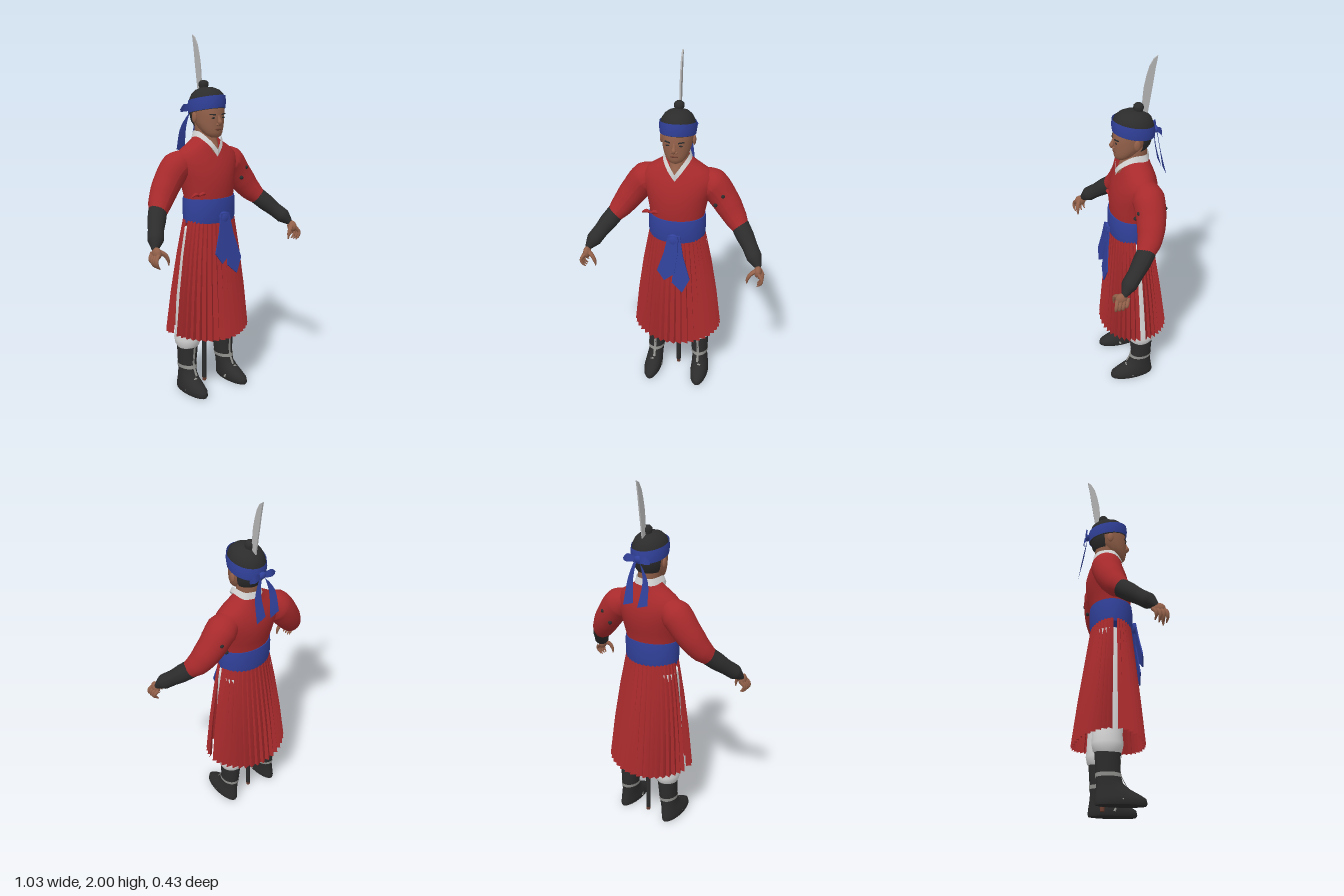
import * as THREE from 'three';
import { toCreasedNormals } from 'three/addons/utils/BufferGeometryUtils.js';

const mat = (name, color, side = THREE.FrontSide) => {
  const m = new THREE.MeshStandardMaterial({ color, side });
  m.name = name;
  return m;
};
const V = (p) => new THREE.Vector3(...p);

export function createModel() {
  const model = new THREE.Group();
  model.name = 'swordsman';
  const red = mat('red cloth', 0xa82a2c, THREE.DoubleSide);
  const blue = mat('blue cloth', 0x31419b, THREE.DoubleSide);
  const black = mat('black', 0x2c2c2c, THREE.DoubleSide);
  const white = mat('white cloth', 0xd6d6d6, THREE.DoubleSide);
  const skin = mat('skin', 0x93614a);
  const lip = mat('lip', 0x6e4032);
  const steel = mat('steel', 0xb4b4b4);
  const strap = mat('grey strap', 0x8f8f8c, THREE.DoubleSide);

  const add = (name, geo, material, parent = model) => {
    const m = new THREE.Mesh(geo, material);
    m.name = name;
    parent.add(m);
    return m;
  };

  // Stack of ellipses, bottom to top: [y, half width, z front, z back, x centre].
  // warp(angle, height 0..1, point, centre) may move each point; angle 0 faces +z.
  const loft = (rows, { n = 32, from = 0, to = Math.PI * 2, caps = true, warp, crease = 0.9 } = {}) => {
    const pos = [], idx = [], w = n + 1;
    rows.forEach(([y, rx, zf, zb, cx = 0], i) => {
      const c = new THREE.Vector3(cx, y, (zf + zb) / 2), rz = (zf - zb) / 2;
      for (let j = 0; j <= n; j++) {
        const a = from + ((to - from) * j) / n;
        const p = new THREE.Vector3(cx + rx * Math.sin(a), y, c.z + rz * Math.cos(a));
        if (warp) warp(a, i / (rows.length - 1), p, c, j);
        pos.push(p.x, p.y, p.z);
        if (i && j) {
          const k = i * w + j;
          idx.push(k - w - 1, k - w, k, k - w - 1, k, k - 1);
        }
      }
    });
    if (caps) [0, rows.length - 1].forEach((i, top) => {
      const [y, , zf, zb, cx = 0] = rows[i], c = pos.length / 3;
      const mid = new THREE.Vector3(cx, y, (zf + zb) / 2);
      if (warp) warp(0, top, mid, mid.clone(), 0);
      pos.push(mid.x, mid.y, mid.z);
      for (let j = 0; j < n; j++) {
        const k = i * w + j;
        idx.push(c, top ? k : k + 1, top ? k + 1 : k);
      }
    });
    const g = new THREE.BufferGeometry();
    g.setAttribute('position', new THREE.Float32BufferAttribute(pos, 3));
    g.setIndex(idx);
    return toCreasedNormals(g, crease);
  };

  // Round limb along points with a radius at each point.
  const limb = (pts, radii, n = 16, seg = 20) => {
    const curve = new THREE.CatmullRomCurve3(pts.map(V));
    const g = new THREE.TubeGeometry(curve, seg, 1, n), p = g.attributes.position, v = new THREE.Vector3();
    for (let i = 0; i < p.count; i++) {
      const u = Math.floor(i / (n + 1)) / seg, t = u * (radii.length - 1);
      const k = Math.min(Math.floor(t), radii.length - 2), c = curve.getPointAt(u);
      v.fromBufferAttribute(p, i).sub(c).multiplyScalar(THREE.MathUtils.lerp(radii[k], radii[k + 1], t - k)).add(c);
      p.setXYZ(i, v.x, v.y, v.z);
    }
    g.computeVertexNormals();
    return g;
  };

  // Cloth ribbon between two edge curves.
  const ribbon = (a, b, seg = 16) => {
    const A = new THREE.CatmullRomCurve3(a.map(V)), B = new THREE.CatmullRomCurve3(b.map(V));
    const g = new THREE.PlaneGeometry(1, 1, 1, seg), p = g.attributes.position;
    for (let i = 0; i < p.count; i++) {
      const q = (i % 2 ? B : A).getPoint(Math.floor(i / 2) / seg);
      p.setXYZ(i, q.x, q.y, q.z);
    }
    g.computeVertexNormals();
    return g;
  };

  const plate = (pts, depth) => new THREE.ExtrudeGeometry(
    new THREE.Shape(pts.map(([x, y]) => new THREE.Vector2(x, y))), { depth, bevelEnabled: false });
  const ball = (name, r, [x, y, z], [sx, sy, sz], material, parent) => {
    const m = add(name, new THREE.SphereGeometry(r, 16, 12), material, parent);
    m.position.set(x, y, z);
    m.scale.set(sx, sy, sz);
    return m;
  };

  // Head and neck
  const head = new THREE.Group();
  head.name = 'head';
  model.add(head);
  add('face', loft([[1.458, 0.02, 0.064, 0.03], [1.468, 0.04, 0.075, 0], [1.485, 0.055, 0.079, -0.03], [1.51, 0.068, 0.08, -0.06],
    [1.54, 0.077, 0.082, -0.09], [1.57, 0.082, 0.083, -0.11], [1.61, 0.088, 0.08, -0.12], [1.65, 0.086, 0.07, -0.12]]), skin, head);
  add('neck', loft([[1.375, 0.018, 0.067, 0], [1.42, 0.048, 0.052, -0.08], [1.47, 0.058, 0.024, -0.1], [1.54, 0.06, 0.03, -0.1]]), skin, head);
  add('nose', limb([[0, 1.58, 0.078], [0, 1.555, 0.085], [0, 1.536, 0.091], [0, 1.526, 0.082]], [0.006, 0.009, 0.013, 0.004], 10), skin, head);
  ball('mouth', 0.022, [0, 1.504, 0.078], [1, 0.25, 0.25], lip, head);
  for (const s of [1, -1]) {
    ball('ear', 0.022, [s * 0.088, 1.565, -0.022], [0.4, 1.3, 0.8], skin, head);
    ball('nostril', 0.008, [s * 0.011, 1.53, 0.083], [1, 0.8, 1], skin, head);
    ball('eye', 0.013, [s * 0.033, 1.566, 0.0755], [1, 0.35, 0.25], black, head);
    const brow = add('eyebrow', new THREE.BoxGeometry(0.034, 0.006, 0.006), black, head);
    brow.position.set(s * 0.036, 1.584, 0.074);
    brow.rotation.set(0, s * 0.4, s * 0.08);
  }

  // Hair, topknot and headband, all tilted down at the back
  const tilt = (a, h, p) => { p.y += p.z * 0.21; };
  add('hairCap', loft([[1.6, 0.092, 0.081, -0.132], [1.65, 0.094, 0.082, -0.136], [1.68, 0.087, 0.071, -0.13], [1.705, 0.072, 0.045, -0.12],
    [1.722, 0.05, 0.01, -0.1], [1.731, 0.02, -0.03, -0.07]], { warp: tilt }), black, head);
  add('backHair', loft([[1.515, 0.066, 0.05, -0.1], [1.54, 0.082, 0.06, -0.117], [1.58, 0.089, 0.07, -0.127], [1.62, 0.091, 0.07, -0.13]],
    { from: 1.85, to: 4.43, caps: false }), black, head);
  add('topknot', new THREE.LatheGeometry([[0.024, 0], [0.021, 0.012], [0.027, 0.028], [0.026, 0.045], [0.016, 0.055], [0, 0.058]]
    .map(([x, y]) => new THREE.Vector2(x, y)), 20), black, head).position.set(0, 1.703, -0.053);
  add('headband', loft([[1.602, 0.095, 0.085, -0.136], [1.635, 0.099, 0.089, -0.141], [1.67, 0.096, 0.085, -0.137]], { warp: tilt, caps: false }), blue, head);
  ball('headbandKnot', 0.022, [-0.005, 1.6, -0.147], [1.1, 0.9, 0.6], blue, head);
  for (const [s, x] of [[1, 0.035], [-1, -0.055]]) {
    add('headbandTail', ribbon([[0, 1.61, -0.148], [x - 0.02, 1.5, -0.165], [x - 0.033, 1.375, -0.188]],
      [[s * 0.012, 1.605, -0.15], [x + 0.015, 1.5, -0.16], [x + 0.028, 1.355, -0.192]]), blue, head);
    add('headbandLoop', ribbon([[0, 1.61, -0.148], [s * 0.05, 1.628, -0.16], [s * 0.085, 1.6, -0.155]],
      [[0, 1.59, -0.148], [s * 0.05, 1.585, -0.165], [s * 0.08, 1.585, -0.155]]), blue, head);
  }

  // Jacket, collar and belt
  add('jacket', loft([[1.08, 0.148, 0.1, -0.118], [1.14, 0.153, 0.104, -0.122], [1.19, 0.162, 0.105, -0.136], [1.25, 0.175, 0.1, -0.148],
    [1.31, 0.196, 0.084, -0.15], [1.355, 0.2, 0.064, -0.14], [1.39, 0.165, 0.05, -0.128], [1.415, 0.125, 0.04, -0.118],
    [1.44, 0.085, 0.03, -0.11], [1.46, 0.066, 0.015, -0.105]]), red);
  for (const s of [1, -1]) {
    add('collar', ribbon([[0, 1.355, 0.071], [s * 0.04, 1.41, 0.061], [s * 0.077, 1.46, 0.0], [s * 0.06, 1.45, -0.085], [0, 1.45, -0.114]],
      [[0, 1.395, 0.073], [s * 0.028, 1.435, 0.058], [s * 0.066, 1.488, 0.0], [s * 0.052, 1.487, -0.08], [0, 1.487, -0.106]], 24), white);
    add('jacketTie', limb([[-0.13, 1.155, 0.075], [-0.13 + s * 0.025, 1.165, 0.078], [-0.13 + s * 0.05, 1.15, 0.07]], [0.006, 0.011, 0.003], 8, 8), red);
  }
  add('belt', loft([[0.995, 0.156, 0.108, -0.12], [1.03, 0.16, 0.114, -0.126], [1.1, 0.16, 0.114, -0.128], [1.13, 0.157, 0.11, -0.126]]), blue);

  // Tied sash with two pointed tails
  const sash = new THREE.Group();
  sash.name = 'sash';
  sash.position.set(0, 1.05, 0.116);
  sash.rotation.x = -0.13;
  model.add(sash);
  add('sashLeftTail', plate([[-0.02, 0], [0.04, 0], [0.06, -0.12], [0.102, -0.26], [0.062, -0.345], [0.002, -0.29], [0.012, -0.13]], 0.007), blue, sash);
  add('sashRightTail', plate([[-0.025, 0], [0.03, 0], [0.032, -0.1], [0.015, -0.23], [-0.04, -0.275], [-0.082, -0.215], [-0.045, -0.1]], 0.007), blue, sash).position.z = 0.009;
  ball('sashKnot', 0.034, [0.003, -0.025, 0.006], [1, 1, 0.4], blue, sash);

  // Pleated skirt, front and back panels open along the sides
  const steps = 4;
  const pleat = (dir) => (a, h, p, c, j) => {
    const d = 1 - h, tooth = (j % steps) / (steps - 1) - 0.5;
    const k = 1 + tooth * dir * (0.025 + 0.085 * d);
    p.x = c.x + (p.x - c.x) * k;
    p.z = c.z + (p.z - c.z) * k;
    p.y -= 0.03 * d * Math.cos(a) ** 2;
  };
  const skirtRows = [[0.362, 0.245, 0.165, -0.207], [0.6, 0.222, 0.145, -0.178], [0.82, 0.192, 0.123, -0.146], [1.01, 0.158, 0.104, -0.118]];
  for (const [name, from, to, dir] of [['skirtFront', -1.47, 1.47, 1], ['skirtBack', 1.63, 4.65, -1]])
    add(name, loft(skirtRows, { n: 19 * steps - 1, from, to, caps: false, warp: pleat(dir), crease: 0.35 }), red);

  for (const s of [1, -1]) {
    const side = s > 0 ? 'left' : 'right';

    // Arm: sleeve, forearm guard, hand
    const arm = new THREE.Group();
    arm.name = side + 'Arm';
    model.add(arm);
    const m = (pts) => pts.map(([x, y, z]) => [s * x, y, z]);
    add('sleeve', limb(m([[0.11, 1.335, -0.045], [0.185, 1.3, -0.055], [0.25, 1.22, -0.052], [0.315, 1.13, -0.025], [0.366, 1.07, 0.02], [0.372, 1.063, 0.025]]),
      [0.06, 0.086, 0.08, 0.074, 0.062, 0.04], 24, 30), red, arm);
    add('forearmGuard', limb(m([[0.35, 1.09, 0], [0.41, 1.02, 0.07], [0.455, 0.965, 0.13], [0.478, 0.932, 0.157], [0.482, 0.925, 0.162]]),
      [0.05, 0.049, 0.042, 0.042, 0.012], 20), black, arm);
    ball('palm', 0.03, [s * 0.478, 0.915, 0.172], [0.7, 1.1, 1.1], skin, arm);
    for (let i = 0; i < 4; i++) {
      const z = 0.202 - i * 0.019, drop = i === 3 ? 0.012 : 0;
      add('finger', limb(m([[0.48, 0.915, z - 0.008], [0.503, 0.885, z + 0.004], [0.498, 0.86 + drop, z + 0.006], [0.48, 0.84 + drop, z + 0.002]]),
        [0.011, 0.01, 0.009, 0.003], 8, 10), skin, arm);
    }
    add('thumb', limb(m([[0.47, 0.925, 0.178], [0.44, 0.905, 0.195], [0.426, 0.875, 0.2], [0.424, 0.85, 0.2]]), [0.014, 0.012, 0.01, 0.003], 8, 10), skin, arm);

    // Leg: baggy trousers tucked into a strapped boot
    const leg = new THREE.Group();
    leg.name = side + 'Leg';
    model.add(leg);
    const x = s * 0.13;
    add('trouser', loft([[0.255, 0.055, 0.02, -0.1, x], [0.275, 0.066, 0.033, -0.117, x], [0.31, 0.073, 0.04, -0.124, x], [0.36, 0.07, 0.036, -0.12, s * 0.125],
      [0.6, 0.082, 0.06, -0.11, s * 0.115], [0.95, 0.085, 0.07, -0.1, s * 0.08]], { n: 24 }), white, leg);
    add('boot', loft([[0, 0.046, 0.148, -0.105, s * 0.148], [0.012, 0.052, 0.155, -0.108, s * 0.147], [0.035, 0.052, 0.15, -0.106, s * 0.146],
      [0.055, 0.05, 0.118, -0.103, s * 0.144], [0.08, 0.047, 0.07, -0.1, s * 0.142], [0.11, 0.045, 0.035, -0.098, s * 0.138],
      [0.16, 0.049, 0.022, -0.101, s * 0.135], [0.27, 0.057, 0.026, -0.109, x], [0.282, 0.057, 0.026, -0.108, x]], { n: 28 }), black, leg);
    add('ankleStrap', loft([[0.138, 0.05, 0.031, -0.103, s * 0.136], [0.158, 0.052, 0.026, -0.104, s * 0.135]], { caps: false }), strap, leg);
    add('frontStrap', ribbon([[s * 0.136 - 0.007, 0.1, 0.052], [s * 0.135 - 0.007, 0.16, 0.025], [x - 0.007, 0.27, 0.029]],
      [[s * 0.136 + 0.007, 0.1, 0.052], [s * 0.135 + 0.007, 0.16, 0.025], [x + 0.007, 0.27, 0.029]]), strap, leg);
    add('instepStrap', limb([-1, -0.75, 0, 0.75, 1].map((t) => [s * 0.144 + t * 0.05, 0.02 + 0.066 * (1 - t * t), 0.025 + 0.03 * (1 - t * t)]),
      [0.007, 0.007, 0.008, 0.007, 0.007], 8), strap, leg);
  }

  // Studs on the left sleeve
  for (const p of [[0.27, 1.3, -0.055], [0.253, 1.265, 0.016], [0.243, 1.265, -0.13], [0.215, 1.21, 0.022], [0.205, 1.2, -0.118]])
    ball('sleeveStud', 0.011, p, [1, 1, 1], black);

  // Upright sword: dark shaft, brown foot and curved blade
  add('swordShaft', new THREE.CylinderGeometry(0.013, 0.013, 0.93, 14), black).position.set(0, 0.485, -0.05);
  add('shaftFoot', new THREE.CylinderGeometry(0.013, 0.011, 0.02, 14), lip).position.set(0, 0.01, -0.05);
  const blade = plate([[-0.098, 1.64], [-0.103, 1.71], [-0.124, 1.84], [-0.137, 1.93], [-0.15, 2],
    [-0.13, 1.987], [-0.108, 1.95], [-0.093, 1.9], [-0.08, 1.84], [-0.068, 1.71], [-0.065, 1.64]], 0.008);
  add('swordBlade', blade.rotateY(-Math.PI / 2).translate(0.004, 0, 0), steel);

  return model;
}
